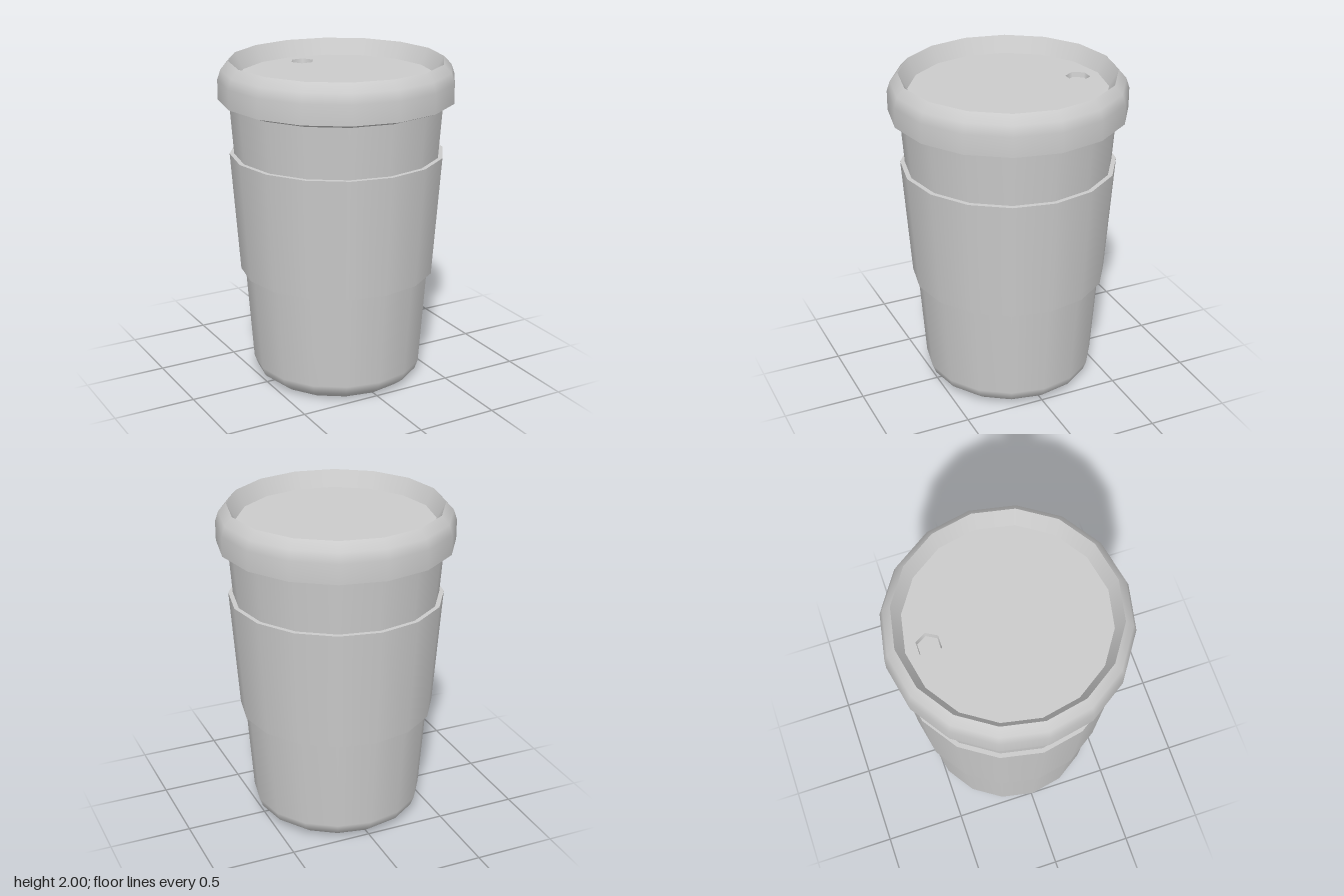
import * as THREE from 'three';

const SIDES = 16;
const material = new THREE.MeshStandardMaterial({ color: 0xcccccc });

// Turned band: smooth inside one profile, sharp where two bands meet
function band(points, sides = SIDES, start = 0) {
  const profile = points.map(([r, y]) => new THREE.Vector2(r, y));
  return new THREE.Mesh(new THREE.LatheGeometry(profile, sides, start), material);
}

function part(name, ...meshes) {
  const group = new THREE.Group();
  group.name = name;
  meshes.forEach((mesh, i) => { mesh.name = name + (i + 1); });
  group.add(...meshes);
  return group;
}

// Regular polygon with a corner on the x axis
function polygon(radius, sides, cx = 0, cy = 0) {
  return Array.from({ length: sides }, (_, i) => {
    const a = (i / sides) * Math.PI * 2;
    return new THREE.Vector2(cx + radius * Math.cos(a), cy + radius * Math.sin(a));
  });
}

export function createModel() {
  const model = new THREE.Group();
  model.name = 'takeawayCup';

  // Tapered cup with a rounded foot
  model.add(part('cup', band([
    [0, 0], [0.45, 0], [0.508, 0.045], [0.528, 0.1], [0.646, 1.75],
  ])));

  // Grip sleeve with flat ledges at both ends
  model.add(part('sleeve',
    band([[0.56, 0.695], [0.598, 0.695]]),
    band([[0.598, 0.695], [0.651, 1.435]]),
    band([[0.651, 1.435], [0.61, 1.435]]),
  ));

  // Lid: underside, rounded outside and sloping inner wall
  const floorY = 1.9, floorR = 0.592;
  model.add(part('lid',
    band([[0.64, 1.743], [0.712, 1.77]]),
    band([[0.712, 1.77], [0.712, 1.89], [0.692, 1.95], [0.645, 2]]),
    band([[0.645, 2], [floorR, floorY]]),
  ));

  // Recessed lid panel pierced by the drinking hole
  const holeR = 0.075, holeX = 0.005, holeZ = -0.455, depth = 0.03;
  const shape = new THREE.Shape(polygon(floorR, SIDES));
  shape.holes.push(new THREE.Path(polygon(holeR, 6, holeX, -holeZ)));
  const panel = new THREE.Mesh(new THREE.ShapeGeometry(shape).rotateX(-Math.PI / 2), material);
  panel.position.y = floorY;
  model.add(part('lidPanel', panel));

  // Shallow six-sided drinking hole
  const hole = part('drinkingHole',
    band([[holeR, 0], [holeR - 0.007, -depth]], 6, Math.PI / 6),
    band([[holeR - 0.007, -depth], [0, -depth]], 6, Math.PI / 6),
  );
  hole.position.set(holeX, floorY, holeZ);
  model.add(hole);

  return model;
}
